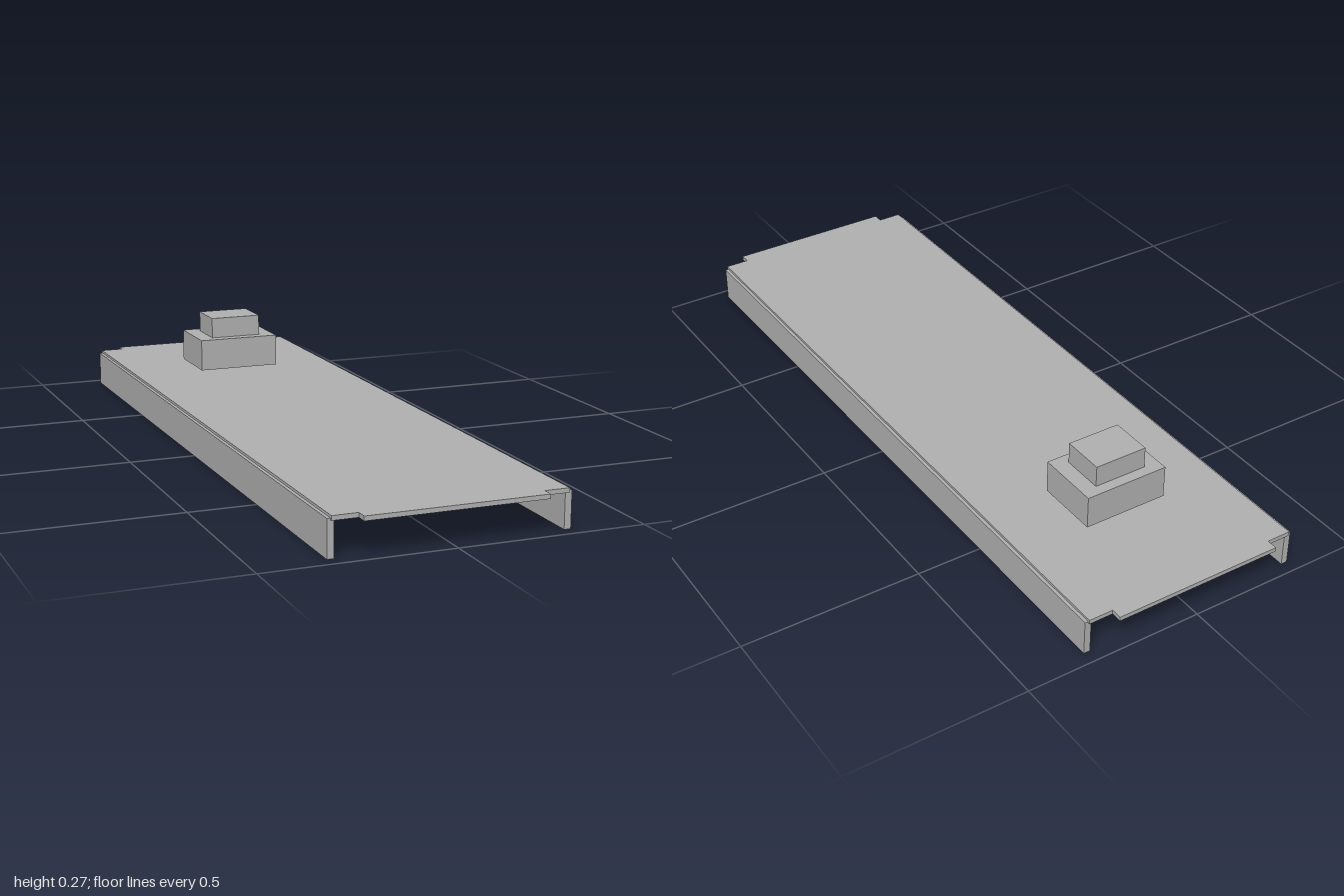
import * as THREE from 'three';

export function createModel() {
  const model = new THREE.Group();
  model.name = 'deckWithBlock';
  const grey = new THREE.MeshStandardMaterial({ color: 0xb0b0b0 });
  grey.name = 'plain grey';

  function add(name, geometry, x, y, z) {
    const mesh = new THREE.Mesh(geometry, grey);
    mesh.name = name;
    mesh.position.set(x, y, z);
    model.add(mesh);
  }
  // Box given by its size, bottom height and centre
  const box = (name, w, h, d, x, bottom, z) =>
    add(name, new THREE.BoxGeometry(w, h, d), x, bottom + h / 2, z);

  // Thin deck with a notch at each corner
  const w = 0.308, tab = 0.24, side = 0.97, end = 1;
  const outline = new THREE.Shape([
    [-tab, -end], [tab, -end], [tab, -side], [w, -side],
    [w, side], [tab, side], [tab, end], [-tab, end],
    [-tab, side], [-w, side], [-w, -side], [-tab, -side],
  ].map(([x, z]) => new THREE.Vector2(x, z)));
  const deck = new THREE.ExtrudeGeometry(outline, { depth: 0.012, bevelEnabled: false });
  deck.rotateX(-Math.PI / 2);
  add('deck', deck, 0, 0.093, 0);

  // Side rails under the long edges
  for (const [name, s] of [['leftRail', 1], ['rightRail', -1]]) {
    box(name, 0.018, 0.098, 1.93, s * 0.308, 0, 0);
  }

  // Stepped block hovering just above the rear of the deck
  box('lowerBlock', 0.24, 0.092, 0.18, 0, 0.118, -0.605);
  box('upperBlock', 0.151, 0.06, 0.12, 0, 0.21, -0.605);

  return model;
}
